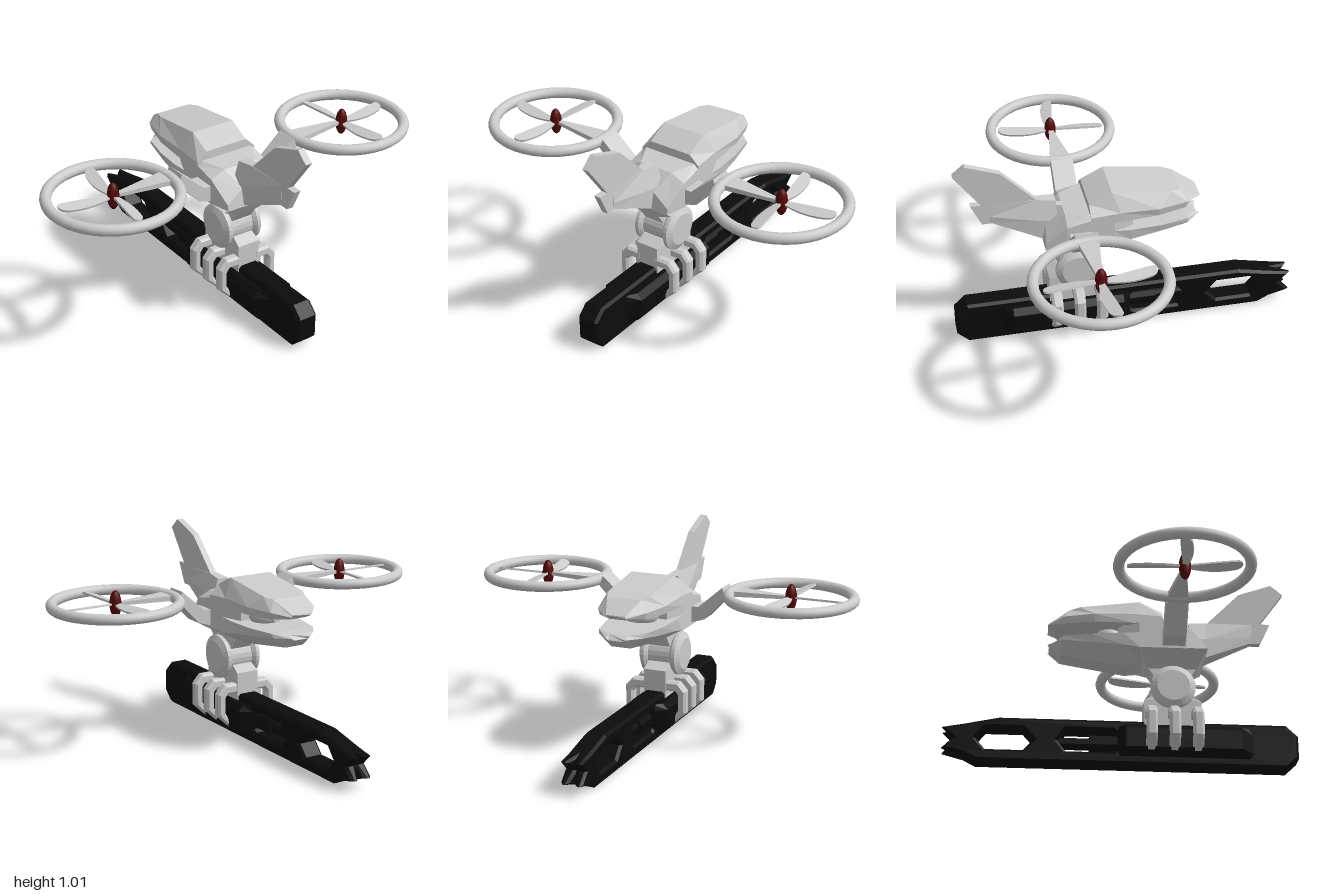
import * as THREE from 'three';

const grey = new THREE.MeshStandardMaterial({ color: 0xcccccc, flatShading: true });
const smooth = new THREE.MeshStandardMaterial({ color: 0xcccccc });
const black = new THREE.MeshStandardMaterial({ color: 0x0c0c0c, flatShading: true });
const red = new THREE.MeshStandardMaterial({ color: 0x550808 });

function add(parent, name, geometry, material, x = 0, y = 0, z = 0) {
  const mesh = new THREE.Mesh(geometry, material);
  mesh.name = name;
  mesh.position.set(x, y, z);
  parent.add(mesh);
  return mesh;
}

// Closed flat-faced solid through rings of [x, y, z]; winding fixed by signed volume
function loft(rings) {
  const tris = [], n = rings[0].length, last = rings.length - 1;
  for (let i = 0; i < last; i++) for (let j = 0; j < n; j++) {
    const k = (j + 1) % n, a = rings[i], b = rings[i + 1];
    tris.push([a[j], a[k], b[k]], [a[j], b[k], b[j]]);
  }
  for (let j = 1; j < n - 1; j++) {
    tris.push([rings[0][0], rings[0][j + 1], rings[0][j]]);
    tris.push([rings[last][0], rings[last][j], rings[last][j + 1]]);
  }
  const v = (p) => new THREE.Vector3(...p);
  const volume = tris.reduce((s, [a, b, c]) => s + v(a).dot(v(b).cross(v(c))), 0);
  const pos = tris.flatMap(([a, b, c]) => (volume < 0 ? [a, c, b] : [a, b, c])).flat();
  const g = new THREE.BufferGeometry();
  g.setAttribute('position', new THREE.Float32BufferAttribute(pos, 3));
  g.computeVertexNormals();
  return g;
}

// Mirrors half sections (x > 0, top to bottom) into full rings
const mirrored = (halves) => loft(halves.map((h) =>
  [...h, ...h.map(([x, y, z]) => [-x, y, z]).reverse()]));
const rect = (x, y, z0, z1) => [[x, y, z0], [x, y, z1], [-x, y, z1], [-x, y, z0]];

const shapeOf = (pts) => new THREE.Shape(pts.map((p) => new THREE.Vector2(...p)));

// Extrudes a (z, y) outline along x, centred, with bevels cut inward
function sideExtrude(shape, width, bevel) {
  const g = new THREE.ExtrudeGeometry(shape, {
    depth: width - 2 * bevel, bevelEnabled: bevel > 0, bevelSize: bevel,
    bevelThickness: bevel, bevelOffset: -bevel, bevelSegments: 1,
  });
  g.translate(0, 0, -(width - 2 * bevel) / 2);
  return g.rotateY(-Math.PI / 2).scale(-1, 1, 1);
}

// After mirroring in x, restore face winding
function flip(g) {
  g = g.index ? g.toNonIndexed() : g;
  const p = g.attributes.position, a = new THREE.Vector3(), b = new THREE.Vector3();
  for (let i = 0; i < p.count; i += 3) {
    a.fromBufferAttribute(p, i + 1);
    b.fromBufferAttribute(p, i + 2);
    p.setXYZ(i + 1, b.x, b.y, b.z);
    p.setXYZ(i + 2, a.x, a.y, a.z);
  }
  g.computeVertexNormals();
  return g;
}

function buildRotor() {
  const rotor = new THREE.Group();
  rotor.name = 'rotor';
  add(rotor, 'rotorRing', new THREE.TorusGeometry(0.308, 0.027, 12, 40).rotateX(Math.PI / 2), smooth);
  add(rotor, 'rotorSpindle', new THREE.SphereGeometry(0.029, 16, 12).scale(1, 2.35, 1), red);
  // Swept paddle blades
  const s = new THREE.Shape();
  s.moveTo(0, -0.008);
  s.bezierCurveTo(0.09, -0.03, 0.15, -0.032, 0.23, -0.01);
  s.bezierCurveTo(0.28, 0.005, 0.275, 0.05, 0.25, 0.05);
  s.bezierCurveTo(0.18, 0.042, 0.1, 0.025, 0, 0.008);
  const blade = new THREE.ExtrudeGeometry(s, { depth: 0.01, bevelEnabled: false, curveSegments: 8 });
  blade.translate(0, 0, -0.005).rotateX(-Math.PI / 2 + 0.25);
  for (let i = -1; i <= 1; i++) add(rotor, 'rotorBlade', blade, grey).rotation.y = i * Math.PI / 2;
  // Tapered strut from the arm to the hub
  add(rotor, 'rotorStrut', loft([[-0.32, 0.055, 0.014], [0, 0.008, 0.008]].map(([x, w, h]) =>
    [[x, h, w], [x, h, -w], [x, -h, -w], [x, -h, w]])), grey);
  return rotor;
}

export function createModel() {
  const model = new THREE.Group();

  // Head: upper shell, lower jaw and sensor between them
  add(model, 'upperShell', mirrored([
    [[0.115, 0.787, 0.195], [0.165, 0.74, 0.195], [0.165, 0.71, 0.195]],
    [[0.115, 0.842, 0.083], [0.165, 0.75, 0.05], [0.165, 0.7, 0.05]],
    [[0.112, 0.804, -0.21], [0.163, 0.745, -0.14], [0.155, 0.705, -0.14]],
    [[0.09, 0.796, -0.26], [0.125, 0.742, -0.29], [0.12, 0.708, -0.28]],
    [[0.05, 0.735, -0.365], [0.055, 0.725, -0.367], [0.05, 0.708, -0.33]],
  ]), grey);
  add(model, 'lowerJaw', mirrored([
    [[0.165, 0.65, 0.08], [0.165, 0.57, 0.08], [0.06, 0.535, 0.1]],
    [[0.165, 0.645, 0], [0.157, 0.585, 0], [0.06, 0.515, 0.02]],
    [[0.15, 0.64, -0.15], [0.14, 0.6, -0.15], [0.055, 0.538, -0.13]],
    [[0.12, 0.64, -0.29], [0.115, 0.62, -0.3], [0.05, 0.565, -0.305]],
    [[0.05, 0.635, -0.335], [0.05, 0.62, -0.367], [0.04, 0.61, -0.36]],
  ]), grey);
  add(model, 'sensorHousing', new THREE.SphereGeometry(0.075, 20, 14).scale(1.2, 0.85, 1), smooth, 0, 0.675, -0.06);
  add(model, 'sensorLens', new THREE.CylinderGeometry(0.028, 0.028, 0.06, 16).rotateX(Math.PI / 2), grey, 0, 0.68, -0.13);

  // Body, keel and neck
  add(model, 'body', mirrored([
    [[0.08, 0.71, -0.02], [0.12, 0.69, -0.02], [0.12, 0.6, -0.02]],
    [[0.14, 0.745, 0.08], [0.165, 0.72, 0.08], [0.165, 0.57, 0.08]],
    [[0.14, 0.745, 0.2], [0.165, 0.725, 0.2], [0.165, 0.57, 0.2]],
    [[0.09, 0.735, 0.31], [0.165, 0.7, 0.31], [0.165, 0.57, 0.31]],
    [[0.05, 0.66, 0.4], [0.14, 0.6, 0.41], [0.14, 0.57, 0.415]],
  ]), grey);
  add(model, 'keel', loft([rect(0.165, 0.572, 0.08, 0.415), rect(0.05, 0.505, 0.13, 0.37)]), grey);
  add(model, 'neck', loft([rect(0.055, 0.51, 0.13, 0.37), rect(0.055, 0.44, 0.18, 0.32), rect(0.055, 0.36, 0.18, 0.32)]), grey);

  // Tail fin, flared where it meets the body
  const fin = shapeOf([[0.826, 0.963], [0.766, 1.014], [0.6, 0.954], [0.4, 0.75], [0.3, 0.735], [0.3, 0.575],
    [0.41, 0.572], [0.52, 0.68], [0.7, 0.68], [0.752, 0.79], [0.7, 0.79]]);
  add(model, 'tailFin', flip(sideExtrude(fin, 0.034, 0)), grey);
  add(model, 'tailRoot', mirrored([
    [[0.03, 0.775, 0.34], [0.06, 0.68, 0.34], [0.06, 0.575, 0.34]],
    [[0.02, 0.785, 0.43], [0.05, 0.68, 0.42], [0.05, 0.575, 0.41]],
    [[0.017, 0.785, 0.66], [0.02, 0.72, 0.66], [0.017, 0.685, 0.66]],
  ]), grey);

  // Arms and rotors
  const armShape = shapeOf([[0.14, 0.575], [0.23, 0.603], [0.345, 0.725], [0.325, 0.775], [0.2, 0.665], [0.14, 0.665]]);
  const arm = new THREE.ExtrudeGeometry(armShape, { depth: 0.11, bevelEnabled: false });
  for (const side of [1, -1]) {
    const wing = new THREE.Group();
    wing.name = side > 0 ? 'leftWing' : 'rightWing';
    wing.scale.x = side;
    add(wing, 'arm', arm, grey, 0, 0, 0.193);
    const rotor = buildRotor();
    rotor.position.set(0.665, 0.748, 0.248);
    wing.add(rotor);
    model.add(wing);
  }

  // Wrist joint: hub with a chamfered disc on each side
  add(model, 'wristHub', new THREE.CylinderGeometry(0.09, 0.09, 0.13, 24).rotateZ(Math.PI / 2), grey, 0, 0.397, 0.25);
  const disc = new THREE.LatheGeometry([[0, -0.025], [0.095, -0.025], [0.111, -0.01], [0.111, 0.008], [0.08, 0.025], [0, 0.025]]
    .map((p) => new THREE.Vector2(...p)), 28).rotateZ(-Math.PI / 2);
  for (const side of [1, -1]) add(model, 'wristDisc', disc, grey, side * 0.085, 0.397, 0.25).rotation.y = side > 0 ? 0 : Math.PI;

  // Gripping hand: palm and three hooked fingers per side
  add(model, 'palm', loft([rect(0.06, 0.19, 0.11, 0.39), rect(0.06, 0.335, 0.11, 0.39), rect(0.055, 0.365, 0.16, 0.34)]), grey);
  const fingerShape = shapeOf([[0.04, 0.28], [0.125, 0.28], [0.165, 0.235], [0.165, 0.12], [0.1, 0.058],
    [0.095, 0.085], [0.122, 0.13], [0.122, 0.21], [0.108, 0.23], [0.04, 0.23]].reverse());
  const finger = new THREE.ExtrudeGeometry(fingerShape, { depth: 0.03, bevelSize: 0.01, bevelThickness: 0.012, bevelOffset: -0.01, bevelSegments: 1 });
  for (const side of [1, -1]) {
    const fingers = new THREE.Group();
    fingers.name = 'fingers';
    fingers.scale.x = side;
    for (const z of [0.365, 0.252, 0.14]) add(fingers, 'finger', finger, grey, 0, 0, z - 0.015);
    model.add(fingers);
  }

  // Gun: two slotted side plates that part into a forked muzzle
  const gun = new THREE.Group();
  gun.name = 'gun';
  const plate = shapeOf([[0.805, 0], [0.863, 0.055], [0.863, 0.17], [0.805, 0.225], [-0.59, 0.225], [-0.76, 0.188],
    [-0.863, 0.168], [-0.81, 0.115], [-0.863, 0.06], [-0.76, 0.032], [-0.7, 0]]);
  const slots = [
    [[-0.02, 0.155], [-0.04, 0.172], [-0.27, 0.172], [-0.31, 0.115], [-0.27, 0.06], [-0.04, 0.06], [-0.02, 0.075]],
    [[-0.425, 0.115], [-0.475, 0.172], [-0.655, 0.172], [-0.702, 0.115], [-0.655, 0.06], [-0.475, 0.06]],
  ];
  for (const slot of slots) plate.holes.push(new THREE.Path(slot.map((p) => new THREE.Vector2(...p))));
  const plateGeo = flip(sideExtrude(plate, 0.068, 0.013)).translate(0.021, 0, 0);
  const p = plateGeo.attributes.position;
  for (let i = 0; i < p.count; i++) {
    if (p.getX(i) < 0.03 && p.getZ(i) < -0.77) p.setX(i, p.getX(i) + (-0.77 - p.getZ(i)) * 0.35);
  }
  plateGeo.computeVertexNormals();
  for (const side of [1, -1]) add(gun, 'gunPlate', plateGeo, black).scale.x = side;
  // Wider receiver held by the hand, and the inner barrel in the front slot
  add(gun, 'receiver', mirrored([[0.64, 0.055], [0.58, 0.11], [0.02, 0.11], [-0.02, 0.055]].map(([z, x]) =>
    [[x * 0.75, 0.195, z], [x, 0.165, z], [x, 0.07, z], [x * 0.75, 0.04, z]])), black);
  for (const [r, len, z] of [[0.045, 0.15, -0.08], [0.03, 0.18, -0.22]]) {
    add(gun, 'innerBarrel', new THREE.CylinderGeometry(r, r, len, 10).rotateX(Math.PI / 2), black, 0, 0.115, z);
  }
  model.add(gun);
  return model;
}
